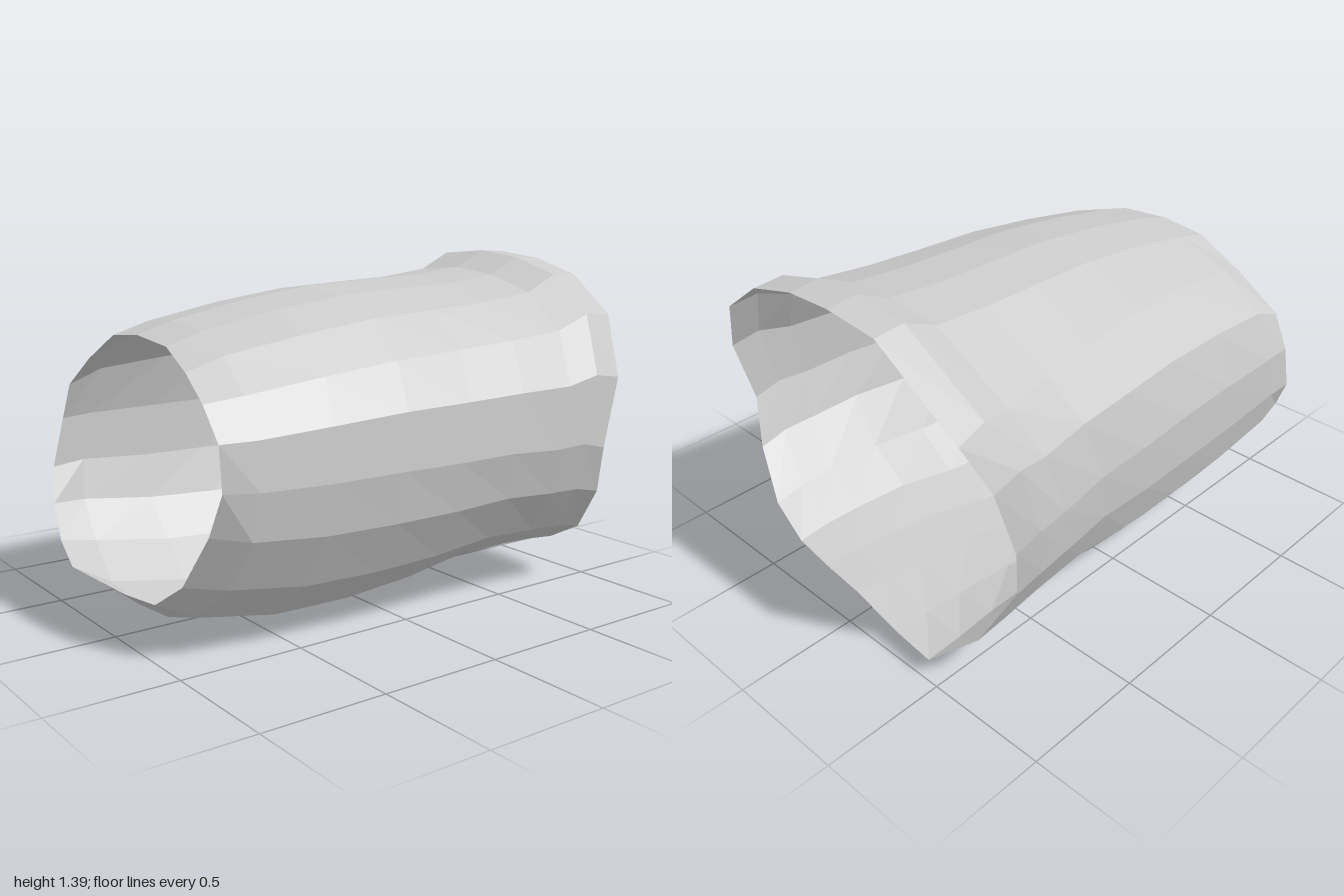
import * as THREE from 'three';

// Cross-sections run from the top, over the front, bottom and back.
// Narrow rim: [x, y, z]
const narrowRim = [
  [-0.86, 1.13, -0.02], [-0.86, 1.11, 0.2], [-0.88, 1.04, 0.37], [-0.89, 0.95, 0.5], [-0.89, 0.83, 0.6],
  [-0.88, 0.66, 0.6], [-0.9, 0.5, 0.54], [-0.94, 0.3, 0.42], [-0.97, 0.2, 0.27], [-0.98, 0.18, 0.05],
  [-0.99, 0.18, -0.15], [-1, 0.18, -0.37], [-0.98, 0.25, -0.52], [-0.96, 0.38, -0.62], [-0.93, 0.52, -0.68],
  [-0.88, 0.72, -0.68], [-0.87, 0.87, -0.62], [-0.87, 1.0, -0.42], [-0.86, 1.11, -0.22],
];
// Wide, flared rim with a notch on each side: [x, y, z]
const wideRim = [
  [0.98, 1.38, -0.02], [0.97, 1.36, 0.2], [0.97, 1.3, 0.42], [0.96, 1.15, 0.62], [0.9, 0.91, 0.74],
  [0.82, 0.63, 0.75], [0.86, 0.43, 0.69], [0.91, 0.24, 0.55], [0.93, 0.15, 0.38], [0.94, 0.13, 0.2],
  [0.95, 0.12, 0], [0.97, 0.09, -0.25], [0.98, 0.08, -0.44], [0.87, 0.2, -0.59], [0.79, 0.44, -0.71],
  [0.83, 0.66, -0.745], [0.92, 0.95, -0.735], [1, 1.14, -0.665], [0.98, 1.36, -0.26],
];
// Body section: [height 0..1, depth -1..1]
const section = [
  [1, -0.03], [0.98, 0.3], [0.92, 0.6], [0.815, 0.84], [0.69, 0.98], [0.53, 1], [0.37, 0.95],
  [0.195, 0.77], [0.063, 0.49], [0.01, 0.15], [0, -0.17], [0.03, -0.51], [0.145, -0.77], [0.28, -0.94],
  [0.425, -1], [0.6, -1], [0.775, -0.9], [0.9, -0.65], [0.98, -0.33],
];
// The wide rim's outline in the same proportions
const wideSection = wideRim.map(([, y, z]) => [(y - 0.08) / 1.3, z / 0.75]);

// Body stations: [fraction of length, top, bottom, front, back]
const stations = [
  [0.08, 1.175, 0.06, 0.625, 0.69],
  [0.25, 1.235, 0.0, 0.655, 0.695],
  [0.42, 1.275, 0.0, 0.68, 0.705],
  [0.58, 1.287, 0.03, 0.695, 0.715],
  [0.72, 1.295, 0.085, 0.72, 0.72],
  [0.85, 1.32, 0.095, 0.74, 0.74],
  [0.93, 1.388, 0.09, 0.75, 0.755],
];

function createTube() {
  const { lerp } = THREE.MathUtils;
  const n = section.length;
  const rings = [narrowRim];
  for (const [t, top, bottom, front, back] of stations) {
    rings.push(section.map(([height, depth], i) => {
      // The section turns gradually into the wide rim's outline
      const h = lerp(height, wideSection[i][0], t * t);
      const d = lerp(depth, wideSection[i][1], t * t);
      return [
        lerp(narrowRim[i][0], wideRim[i][0], t),
        lerp(bottom, top, h),
        d * (d > 0 ? front : back),
      ];
    }));
  }
  rings.push(wideRim);

  const index = [];
  for (let j = 0; j < rings.length - 1; j++) {
    for (let i = 0; i < n; i++) {
      const a = j * n + i;
      const b = j * n + (i + 1) % n;
      index.push(a, b, b + n, a, b + n, a + n);
    }
  }
  const geometry = new THREE.BufferGeometry();
  geometry.setAttribute('position', new THREE.Float32BufferAttribute(rings.flat(2), 3));
  geometry.setIndex(index);
  geometry.computeVertexNormals();
  return geometry;
}

export function createModel() {
  const group = new THREE.Group();
  group.name = 'openSleeve';
  // Thin irregular sleeve, open at both ends
  const sleeve = new THREE.Mesh(createTube(), new THREE.MeshStandardMaterial({
    color: 0xcccccc, flatShading: true, side: THREE.DoubleSide,
  }));
  sleeve.name = 'sleeveWall';
  group.add(sleeve);
  return group;
}
